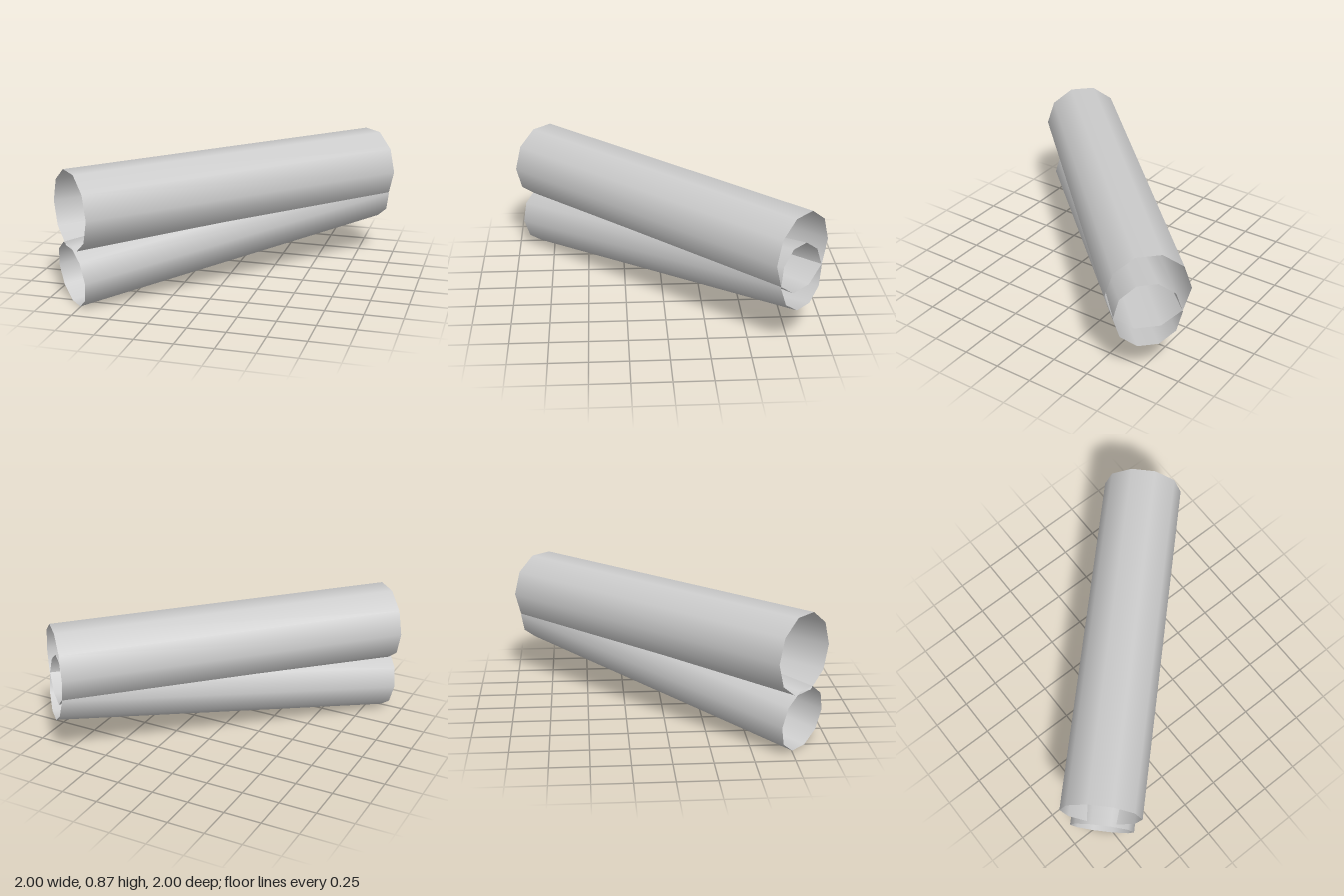
import * as THREE from 'three';

export function createModel() {
  const model = new THREE.Group();
  model.name = 'doubleTube';
  const grey = new THREE.MeshStandardMaterial({ color: 0xcccccc, side: THREE.DoubleSide });
  grey.name = 'light grey';

  // Both tubes lie on the floor-plan diagonal; this is their sideways direction
  const sideways = new THREE.Vector3(1, 0, 1).normalize();

  // Open ten-sided tube between two end centres, with corners at its widest points
  function addTube(name, radius, start, end) {
    const axis = end.clone().sub(start);
    const length = axis.length();
    axis.normalize();
    const tube = new THREE.Mesh(
      new THREE.CylinderGeometry(radius, radius, length, 10, 1, true), grey);
    const third = new THREE.Vector3().crossVectors(axis, sideways);
    tube.quaternion.setFromRotationMatrix(
      new THREE.Matrix4().makeBasis(third, axis, sideways));
    tube.position.addVectors(start, end).multiplyScalar(0.5);
    tube.name = name;
    model.add(tube);
  }

  const e = 0.815;
  // Wide level tube on top
  addTube('upperTube', 0.262, new THREE.Vector3(-e, 0.62, e), new THREE.Vector3(e, 0.62, -e));
  // Narrower tube rising into the upper one at the back
  addTube('lowerTube', 0.212, new THREE.Vector3(-e, 0.201, e), new THREE.Vector3(e, 0.455, -e));

  return model;
}
